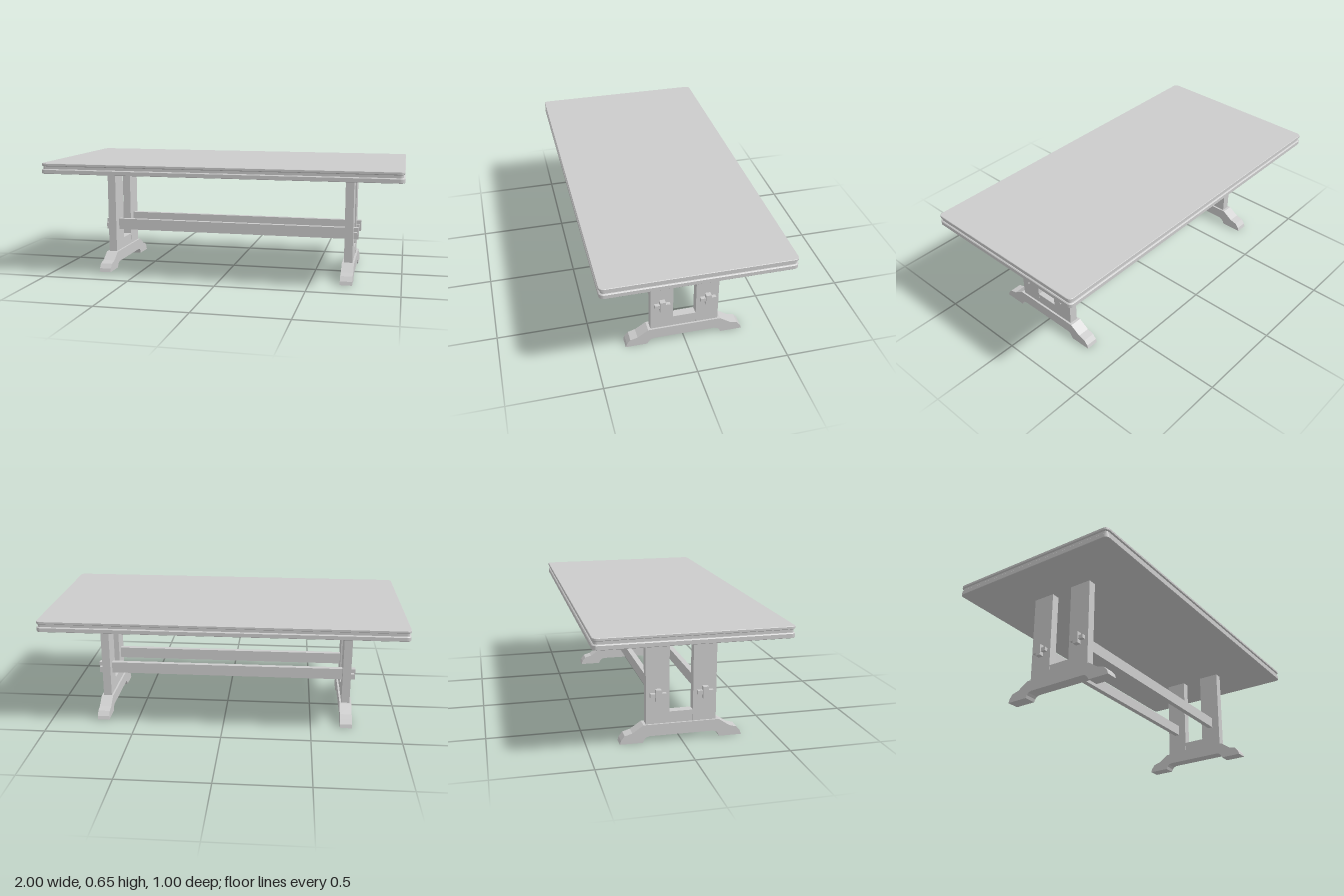
import * as THREE from 'three';

const material = new THREE.MeshStandardMaterial({ color: 0xcccccc, flatShading: true });

function addMesh(parent, name, geometry, x = 0, y = 0, z = 0) {
  const mesh = new THREE.Mesh(geometry, material);
  mesh.name = name;
  mesh.position.set(x, y, z);
  parent.add(mesh);
  return mesh;
}

function addBox(parent, name, size, position) {
  return addMesh(parent, name, new THREE.BoxGeometry(...size), ...position);
}

// Rounded rectangle swept through an edge profile of [inset, height] pairs
function tabletopGeometry(halfX, halfZ, radius, profile) {
  const steps = 6;
  const count = 4 * (steps + 1);
  const positions = [];
  const index = [];
  for (const [inset, y] of profile) {
    for (let corner = 0; corner < 4; corner++) {
      const sx = corner === 0 || corner === 3 ? 1 : -1;
      const sz = corner < 2 ? 1 : -1;
      for (let i = 0; i <= steps; i++) {
        const a = (corner + i / steps) * Math.PI / 2;
        const r = radius - inset;
        positions.push(sx * (halfX - radius) + r * Math.cos(a), y, sz * (halfZ - radius) + r * Math.sin(a));
      }
    }
  }
  for (let ring = 0; ring < profile.length - 1; ring++) {
    for (let i = 0; i < count; i++) {
      const a = ring * count + i;
      const b = ring * count + (i + 1) % count;
      index.push(a, a + count, b, b, a + count, b + count);
    }
  }
  // Flat underside and top
  const last = (profile.length - 1) * count;
  for (let i = 1; i < count - 1; i++) {
    index.push(0, i, i + 1, last, last + i + 1, last + i);
  }
  const geometry = new THREE.BufferGeometry();
  geometry.setAttribute('position', new THREE.Float32BufferAttribute(positions, 3));
  geometry.setIndex(index);
  const flat = geometry.toNonIndexed();
  flat.computeVertexNormals();
  return flat;
}

// Sled foot: half outline mirrored across the middle, extruded along x
function footGeometry(width) {
  const half = [
    [0.17, 0.033], [0.19, 0.027], [0.2, 0.015], [0.207, 0], [0.328, 0],
    [0.322, 0.02], [0.302, 0.045], [0.262, 0.056], [0.203, 0.096],
  ];
  const mirrored = half.map(([z, y]) => [-z, y]).reverse();
  const shape = new THREE.Shape([...half, ...mirrored].map(([z, y]) => new THREE.Vector2(z, y)));
  const geometry = new THREE.ExtrudeGeometry(shape, { depth: width, bevelEnabled: false });
  geometry.translate(0, 0, -width / 2);
  geometry.rotateY(Math.PI / 2);
  return geometry;
}

export function createModel() {
  const table = new THREE.Group();
  table.name = 'trestleTable';

  // Top with a groove running round its edge
  addMesh(table, 'tabletop', tabletopGeometry(1, 0.5, 0.025, [
    [0.002, 0.593], [0, 0.595], [0, 0.615], [0.004, 0.619], [0.008, 0.62],
    [0.008, 0.635], [0.004, 0.636], [0, 0.639], [0, 0.65], [0.002, 0.652],
  ]));

  // Trestle at each end: foot, two posts and the block between them
  for (const side of [1, -1]) {
    const trestle = new THREE.Group();
    trestle.name = side > 0 ? 'leftTrestle' : 'rightTrestle';
    trestle.position.x = side * 0.702;
    table.add(trestle);
    addMesh(trestle, 'foot', footGeometry(0.068));
    addBox(trestle, 'spacerBlock', [0.046, 0.062, 0.126], [0, 0.126, 0]);
    for (const z of [0.126, -0.126]) {
      addBox(trestle, 'post', [0.047, 0.498, 0.125], [0, 0.345, z]);
      // Wedge through the stretcher's tenon
      addBox(trestle, 'wedge', [0.02, 0.021, 0.085], [side * 0.034, 0.255, z]);
    }
  }

  // Long stretchers passing through the posts
  for (const z of [0.126, -0.126]) {
    addBox(table, 'stretcher', [1.506, 0.064, 0.03], [0, 0.255, z]);
  }
  return table;
}
